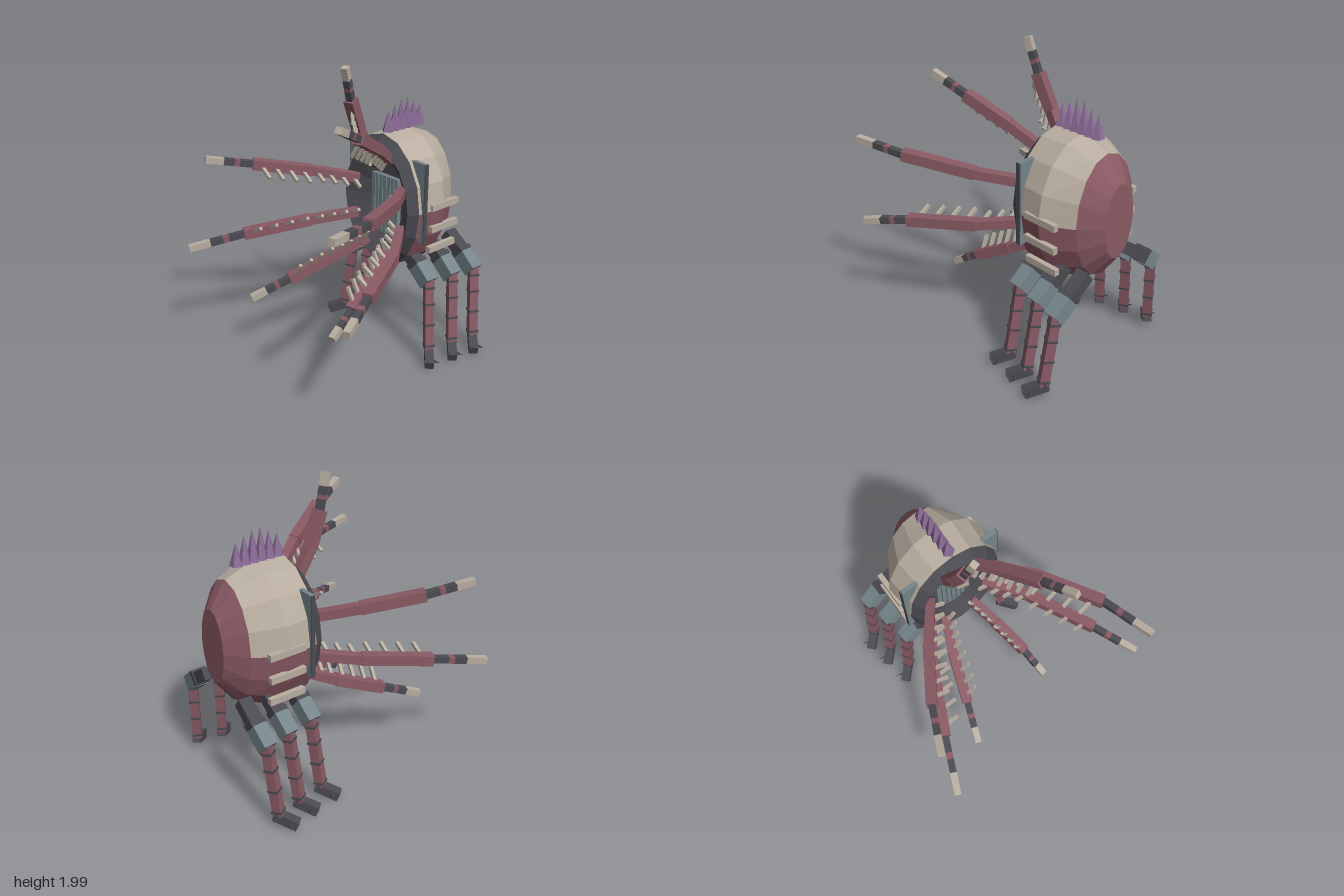
import * as THREE from 'three';

const mat = (name, color) => Object.assign(new THREE.MeshStandardMaterial({ color }), { name });
const maroon = mat('maroon', 0x8a5a64);
const bone = mat('bone', 0xb8ada0);
const slate = mat('slate', 0x4b4a51);
const steel = mat('steel', 0x75858a);
const purple = mat('purple', 0x8c6c98);
const hollow = mat('hollow', 0x4b4a51);
hollow.side = THREE.DoubleSide;

const CX = -0.02, CY = 1.067; // body axis
const V = (x, y, z) => new THREE.Vector3(x, y, z);

function add(parent, name, geo, material, x = 0, y = 0, z = 0) {
  const m = new THREE.Mesh(geo, material);
  m.name = name;
  m.position.set(x, y, z);
  parent.add(m);
  return m;
}

const box = (parent, name, material, w, h, d, x, y, z) =>
  add(parent, name, new THREE.BoxGeometry(w, h, d), material, x, y, z);

// Square bar running from a to b
function bar(parent, name, material, a, b, w, h = w) {
  const m = add(parent, name, new THREE.BoxGeometry(w, h, a.distanceTo(b)), material);
  m.position.copy(a).add(b).multiplyScalar(0.5);
  m.lookAt(b);
  return m;
}

// Faceted shell through elliptical rings [z, rx, ry], listed from front to back
function shell(rings, from = 0, to = 16) {
  const pos = [];
  const pt = ([z, rx, ry], i) => {
    const a = i * Math.PI / 8;
    return [CX + rx * Math.cos(a), CY + ry * Math.sin(a), z];
  };
  for (let r = 0; r < rings.length - 1; r++)
    for (let i = from; i < to; i++) {
      const a = pt(rings[r], i), b = pt(rings[r], i + 1);
      const c = pt(rings[r + 1], i + 1), d = pt(rings[r + 1], i);
      pos.push(...a, ...c, ...b, ...a, ...d, ...c);
    }
  const g = new THREE.BufferGeometry();
  g.setAttribute('position', new THREE.Float32BufferAttribute(pos, 3));
  g.computeVertexNormals();
  return g;
}

function buildBody(root) {
  const body = new THREE.Group();
  body.name = 'body';
  root.add(body);
  const front = [-0.28, 0.34, 0.46], mid = [-0.49, 0.365, 0.473], rear = [-0.68, 0.25, 0.40];
  add(body, 'upperShell', shell([front, mid, rear], 0, 8), bone);
  add(body, 'lowerShell', shell([front, mid, rear], 8, 16), maroon);
  add(body, 'rearShell', shell([rear, [-0.79, 0.125, 0.245], [-0.79, 0, 0]]), maroon);

  // Open mouth with a ribbed plate at its base
  const edge = [-0.215, 0.30, 0.39];
  add(body, 'lip', shell([edge, front]), slate);
  add(body, 'mouth', shell([edge, [-0.33, 0.145, 0.245], [-0.33, 0, 0]]), hollow);
  for (let i = -3; i <= 3; i++) {
    const x = i * 0.036, bottom = CY - 0.245 * Math.sqrt(1 - (x / 0.16) ** 2), top = 1.235;
    box(body, 'mouthRib', steel, 0.029, top - bottom, 0.04, CX + x, (top + bottom) / 2, -0.315);
  }

  // Crest spikes
  for (let i = 0; i < 6; i++) {
    const h = 0.2 - 0.03 * (Math.abs(i - 2.5) - 0.5);
    const g = new THREE.ConeGeometry(0.042, h, 5).toNonIndexed();
    g.computeVertexNormals();
    add(body, 'crestSpike', g, purple, CX, 1.535 + h / 2, -0.32 - i * 0.056);
  }

  // Side plates and side bars
  for (const s of [-1, 1]) {
    box(body, 'sidePlate', steel, 0.12, 0.54, 0.03, CX + s * 0.295, 1.13, -0.318);
    box(body, 'sidePlateRim', slate, 0.006, 0.54, 0.03, CX + s * 0.356, 1.13, -0.318);
    for (const [y, u] of [[1.09, 0.35], [0.94, 0.35], [0.79, 0.335]])
      box(body, 'sideBar', bone, 0.034, 0.042, 0.245, CX + s * u, y, -0.498);
  }
}

// One walking leg; side is 1 or -1, i counts from front to rear
function buildLeg(root, side, i) {
  const leg = new THREE.Group();
  leg.name = (side > 0 ? 'left' : 'right') + 'Leg';
  root.add(leg);
  const z0 = [-0.355, -0.545, -0.72][i], out = i * 0.035;
  const P = (u, y, dz) => V(CX + side * (u + out), y, z0 + dz);
  // Hip
  bar(leg, 'hip', slate, P(0.13, 0.77, 0), P(0.29, 0.655, 0), 0.085, 0.08);
  bar(leg, 'hipCuff', slate, P(0.25, 0.69, 0), P(0.275, 0.667, 0), 0.1, 0.1);
  bar(leg, 'hipBlock', steel, P(0.275, 0.665, 0), P(0.385, 0.575, 0.005), 0.092, 0.105);
  // Shin with dark bands
  const knee = P(0.375, 0.6, 0.0), ankle = P(0.435, 0.1, 0.035);
  bar(leg, 'shin', maroon, knee, ankle, 0.06);
  for (const t of [0.1, 0.33, 0.62, 0.92])
    bar(leg, 'shinBand', slate, knee.clone().lerp(ankle, t), knee.clone().lerp(ankle, t + 0.03), 0.068);
  // Foot and claw
  bar(leg, 'foot', slate, P(0.415, 0.1, 0.015), P(0.522, 0.041, 0.115), 0.06, 0.065);
  const a = P(0.46, 0.06, 0.085), b = P(0.555, 0.05, 0.045);
  const claw = add(leg, 'claw', new THREE.ConeGeometry(0.022, a.distanceTo(b), 4), slate);
  claw.position.copy(a).add(b).multiplyScalar(0.5);
  claw.quaternion.setFromUnitVectors(V(0, 1, 0), b.clone().sub(a).normalize());
}

// One reaching arm: two maroon segments, a striped tip and pegs facing the body axis
function buildArm(root, angle, points) {
  const arm = new THREE.Group();
  arm.name = 'arm';
  root.add(arm);
  const [p0, p1, p2, p3] = points.map(p => V(...p));
  bar(arm, 'armBase', maroon, p0, p1, 0.06);
  bar(arm, 'armMiddle', maroon, p1.clone().lerp(p0, 0.06), p2, 0.068);
  [[-0.05, 0.28, slate], [0.28, 0.39, maroon], [0.39, 0.62, slate], [0.62, 1, bone]].forEach(([s, e, m]) =>
    bar(arm, 'armTip', m, p2.clone().lerp(p3, s), p2.clone().lerp(p3, e), 0.043));
  const r = angle * Math.PI / 180, inward = V(-Math.cos(r), -Math.sin(r), 0.08);
  for (const [a, b, len] of [[p0, p1, 0.105], [p1, p2, 0.13]])
    for (const t of [0.14, 0.38, 0.62, 0.86]) {
      const p = a.clone().lerp(b, t);
      bar(arm, 'armPeg', bone, p, p.clone().addScaledVector(inward, len), 0.021);
    }
}

export function createModel() {
  const root = new THREE.Group();
  root.name = 'manyArmedCreature';
  buildBody(root);
  for (const side of [-1, 1]) for (let i = 0; i < 3; i++) buildLeg(root, side, i);

  // Arms: angle around the mouth, then root, two bends and tip
  const arms = [
    [100, [[-0.105, 1.38, -0.25], [-0.11, 1.57, -0.14], [-0.085, 1.775, -0.055], [-0.06, 1.99, 0.01]]],
    [60, [[0.07, 1.38, -0.25], [0.17, 1.52, -0.05], [0.275, 1.66, 0.2], [0.35, 1.77, 0.41]]],
    [30, [[0.19, 1.2, -0.25], [0.4, 1.245, 0.02], [0.61, 1.3, 0.42], [0.705, 1.33, 0.76]]],
    [-30, [[0.18, 0.93, -0.25], [0.4, 0.885, 0.02], [0.61, 0.84, 0.42], [0.75, 0.78, 0.7]]],
    [-65, [[0.08, 0.75, -0.25], [0.15, 0.64, -0.04], [0.215, 0.51, 0.2], [0.25, 0.39, 0.39]]],
    [-125, [[-0.13, 0.77, -0.25], [-0.23, 0.665, -0.02], [-0.33, 0.55, 0.28], [-0.42, 0.455, 0.53]]],
    [-150, [[-0.23, 0.93, -0.25], [-0.42, 0.885, 0.04], [-0.61, 0.835, 0.44], [-0.755, 0.78, 0.78]]],
    [150, [[-0.22, 1.18, -0.25], [-0.42, 1.245, 0.02], [-0.61, 1.31, 0.34], [-0.735, 1.37, 0.62]]],
  ];
  for (const [angle, points] of arms) buildArm(root, angle, points);
  return root;
}
